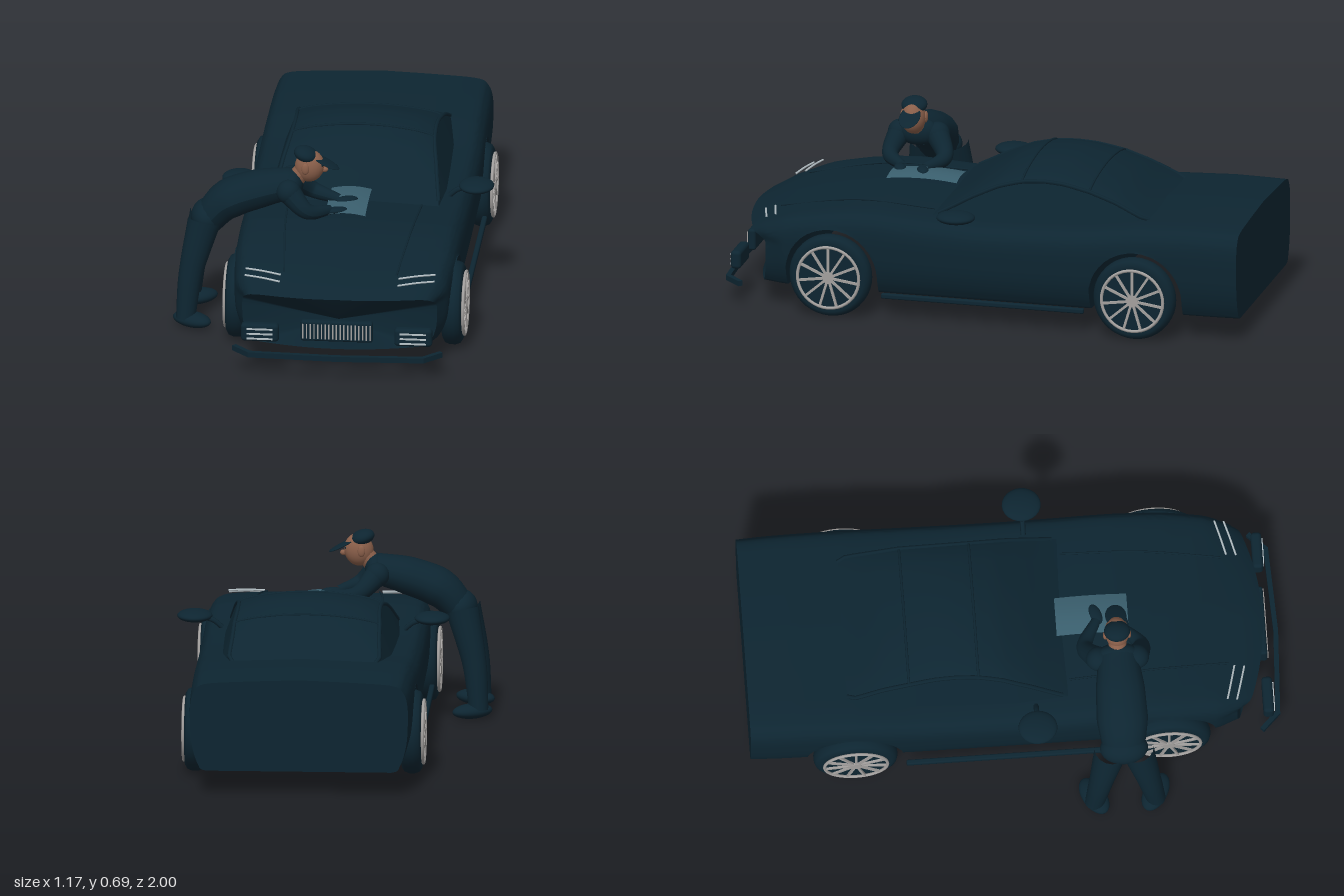
import * as THREE from 'three';
import { toCreasedNormals } from 'three/addons/utils/BufferGeometryUtils.js';
import { RoundedBoxGeometry } from 'three/addons/geometries/RoundedBoxGeometry.js';

const CX = 0.075; // car centre line
const mat = (name, color, side = THREE.FrontSide) => {
  const m = new THREE.MeshStandardMaterial({ color, side });
  m.name = name;
  return m;
};
const V = (x, y, z) => new THREE.Vector3(x, y, z);

// piecewise linear lookup in [position, value] pairs
function look(table, p) {
  let i = 1;
  while (i < table.length - 1 && p > table[i][0]) i++;
  const [a, va] = table[i - 1], [b, vb] = table[i];
  return va + (vb - va) * THREE.MathUtils.clamp((p - a) / (b - a), 0, 1);
}

// closed rings, ordered from back (-z) to front (+z), with end caps
function loft(rings, crease = 0.6) {
  const n = rings[0].length, pos = [], idx = [];
  rings.forEach(r => r.forEach(p => pos.push(p.x, p.y, p.z)));
  for (let i = 0; i < rings.length - 1; i++) {
    for (let j = 0; j < n; j++) {
      const k = (j + 1) % n, a = i * n + j, b = i * n + k;
      idx.push(a, b, b + n, a, b + n, a + n);
    }
  }
  for (const i of [0, rings.length - 1]) {
    const c = rings[i].reduce((s, p) => s.add(p), V(0, 0, 0)).divideScalar(n);
    const ci = pos.length / 3;
    pos.push(c.x, c.y, c.z);
    for (let j = 0; j < n; j++) {
      const a = i * n + j, b = i * n + (j + 1) % n;
      if (i) idx.push(ci, a, b); else idx.push(ci, b, a);
    }
  }
  const g = new THREE.BufferGeometry();
  g.setAttribute('position', new THREE.Float32BufferAttribute(pos, 3));
  g.setIndex(idx);
  return toCreasedNormals(g, crease);
}

// mirrored ring from a half outline running bottom centre to top centre
const mirrorRing = (half, z) => [
  ...half.map(([x, y]) => V(CX + x, y, z)),
  ...half.slice(1, -1).reverse().map(([x, y]) => V(CX - x, y, z)),
];

// tube whose radius changes along its length
function limbGeometry(points, radii) {
  const curve = new THREE.CatmullRomCurve3(points), n = 20, sides = 16;
  const g = new THREE.TubeGeometry(curve, n, 1, sides), p = g.attributes.position, v = V(0, 0, 0);
  const table = radii.map((r, i) => [i / (radii.length - 1), r]);
  for (let i = 0; i < p.count; i++) {
    const t = Math.floor(i / (sides + 1)) / n, c = curve.getPointAt(t);
    v.fromBufferAttribute(p, i).sub(c).multiplyScalar(look(table, t)).add(c);
    p.setXYZ(i, v.x, v.y, v.z);
  }
  g.computeVertexNormals();
  return g;
}

export function createModel() {
  const navy = mat('darkNavy', 0x0d2531), silver = mat('silver', 0xa3a09e);
  const skin = mat('skin', 0x8a5f4a), cloth = mat('clothTeal', 0x3a5f6e, THREE.DoubleSide);
  const lamp = mat('lampWhite', 0xb4bfc4);
  const root = new THREE.Group(), car = new THREE.Group(), man = new THREE.Group();
  root.name = 'carAndPolisher'; car.name = 'car'; man.name = 'man';
  root.add(car, man);
  const add = (parent, name, geo, m, x = 0, y = 0, z = 0) => {
    const mesh = new THREE.Mesh(geo, m);
    mesh.name = name;
    mesh.position.set(x, y, z);
    parent.add(mesh);
    return mesh;
  };
  const tube = (parent, name, pts, r, m) =>
    add(parent, name, new THREE.TubeGeometry(new THREE.CatmullRomCurve3(pts), 24, r, 6), m);
  const ball = (parent, name, m, x, y, z, rx, ry, rz) => {
    const b = add(parent, name, new THREE.SphereGeometry(1, 24, 16), m, x, y, z);
    b.scale.set(rx, ry, rz);
    return b;
  };

  // car body, with wheel tunnels cut through the underside
  const AXLES = [-0.61, 0.56], WY = 0.157, ARCH = 0.177, FLOOR = 0.09;
  const top = [[-1, 0.435], [-0.8, 0.437], [-0.6, 0.428], [-0.4, 0.405], [-0.2, 0.395], [0, 0.39], [0.2, 0.397],
    [0.4, 0.41], [0.5, 0.405], [0.6, 0.393], [0.7, 0.375], [0.8, 0.352], [0.9, 0.322], [0.94, 0.302]];
  const wide = [[-1, 0.407], [-0.9, 0.412], [-0.4, 0.42], [0.3, 0.42], [0.6, 0.415], [0.8, 0.395], [0.94, 0.365]];
  const outline = new THREE.SplineCurve([[0, 0], [0.5, 0], [0.85, 0.0], [0.93, 0.08], [0.985, 0.3], [1, 0.55], [0.995, 0.75],
    [0.96, 0.88], [0.87, 0.96], [0.55, 0.99], [0, 1.015]].map(p => new THREE.Vector2(...p))).getPoints(50);
  const zs = [];
  for (let i = 0; i <= 48; i++) zs.push(-1 + 1.94 * i / 48);
  AXLES.forEach(c => {
    for (let k = 0; k <= 18; k++) zs.push(c - Math.cos(Math.PI * k / 18) * (ARCH - 0.0005));
    zs.push(c - ARCH, c + ARCH);
  });
  zs.sort((a, b) => a - b);
  const bodyRings = zs.map(z => {
    const c = AXLES.find(a => Math.abs(z - a) < ARCH - 0.0002);
    const low = c === undefined ? FLOOR : WY + Math.sqrt(ARCH * ARCH - (z - c) ** 2);
    const h = look(top, z) - FLOOR, w = look(wide, z);
    const ring = mirrorRing(outline.map(p => [p.x * w, Math.max(low, FLOOR + p.y * h)]), z);
    // rounded nose that overhangs the lower bumper
    if (z > 0.74) {
      const s = (z - 0.74) / 0.2;
      ring.forEach(p => {
        const over = 0.78 + 0.22 * THREE.MathUtils.smoothstep(p.y, 0.25, 0.295);
        p.z = 0.74 + (z - 0.74) * over - 0.09 * s * ((p.x - CX) / 0.4) ** 2;
      });
    }
    return ring;
  });
  add(car, 'body', loft(bodyRings), navy);

  // cabin with windscreen, roof and rear window
  const roof = [[-0.66, 0.42], [-0.6, 0.45], [-0.5, 0.508], [-0.4, 0.55], [-0.3, 0.576], [-0.22, 0.582], [-0.14, 0.575],
    [-0.05, 0.547], [0.05, 0.49], [0.13, 0.435], [0.2, 0.39]];
  const base = [[-0.66, 0.27], [-0.6, 0.305], [-0.4, 0.325], [0, 0.33], [0.2, 0.32]];
  const cabinHalf = z => {
    const t = look(roof, z), h = t - 0.37, b = look(base, z), e = b - 0.3 * h, d = 0.2 * h;
    return [[0, 0.37], [b, 0.37], [e, t - d], [e - 0.02, t - d * 0.75], [e * 0.7, t - d * 0.4], [e * 0.35, t - d * 0.1], [0, t]];
  };
  const cabinRings = [];
  for (let i = 0; i <= 30; i++) {
    const z = -0.66 + 0.86 * i / 30;
    cabinRings.push(mirrorRing(cabinHalf(z), z));
  }
  add(car, 'cabin', loft(cabinRings, 0.7), navy);
  // window seams across the roof and rails along its edges
  [-0.4, -0.14].forEach(z => tube(car, 'roofSeam', mirrorRing(cabinHalf(z), z).slice(2, 11), 0.005, navy));
  [2, 10].forEach(j => tube(car, 'roofRail', cabinRings.slice(1, -1).map(r => r[j].clone()), 0.008, navy));

  // wheels
  const tyre = new THREE.LatheGeometry([[0.118, -0.033], [0.135, -0.037], [0.15, -0.028], [0.157, -0.01], [0.157, 0.01],
    [0.15, 0.028], [0.135, 0.037], [0.118, 0.033]].map(p => new THREE.Vector2(...p)), 40).rotateZ(-Math.PI / 2);
  const disc = r => new THREE.CylinderGeometry(r, r, 0.008, 40).rotateZ(-Math.PI / 2);
  for (const side of [-1, 1]) {
    for (const z of AXLES) {
      const w = new THREE.Group();
      w.name = 'wheel';
      w.position.set(CX + side * 0.405, WY, z);
      if (side < 0) w.rotation.y = Math.PI;
      car.add(w);
      add(w, 'tyre', tyre, navy);
      add(w, 'rimBack', disc(0.122), navy, 0.03);
      add(w, 'innerDisc', disc(0.122), silver, -0.03);
      add(w, 'rimRing', new THREE.TorusGeometry(0.118, 0.006, 8, 40).rotateY(Math.PI / 2), silver, 0.042);
      add(w, 'hub', disc(0.022), silver, 0.044);
      for (let k = 0; k < 11; k++) {
        const spoke = add(w, 'spoke', new THREE.BoxGeometry(0.008, 0.1, 0.009).translate(0, 0.066, 0), silver, 0.042);
        spoke.rotation.x = k * Math.PI * 2 / 11;
      }
    }
    // sill bars, mirrors and lamps
    add(car, 'sillBar', new RoundedBoxGeometry(0.02, 0.02, 0.78, 2, 0.006), navy, CX + side * 0.428, 0.098, -0.03);
    ball(car, 'mirror', navy, CX + side * 0.443, 0.43, 0.07, 0.066, 0.022, 0.073);
    tube(car, 'mirrorStalk', [V(CX + side * 0.34, 0.385, 0.07), V(CX + side * 0.37, 0.41, 0.07), V(CX + side * 0.41, 0.425, 0.07)], 0.01, navy);
    add(car, 'lowerLamp', new RoundedBoxGeometry(0.142, 0.07, 0.04, 3, 0.014), navy, CX + side * 0.287, 0.168, 0.94);
    for (let k = 0; k < 3; k++) {
      add(car, 'lampStrip', new THREE.BoxGeometry(0.098, 0.006, 0.006), lamp, CX + side * 0.287, 0.147 + k * 0.019, 0.961);
    }
    [[0.785, 0.82, 0.359], [0.82, 0.857, 0.346]].forEach(([z0, z1, y]) => tube(car, 'headlampStrip',
      [V(CX + side * 0.355, y - 0.002, z0), V(CX + side * 0.29, y - 0.003, (z0 + z1) / 2), V(CX + side * 0.22, y - 0.009, z1)], 0.004, lamp));
    // bonnet crease
    tube(car, 'bonnetCrease', [V(CX + side * 0.25, 0.397, 0.2), V(CX + side * 0.235, 0.405, 0.5), V(CX + side * 0.21, 0.352, 0.8)], 0.004, navy);
  }

  // grille and front splitter
  add(car, 'grille', new RoundedBoxGeometry(0.27, 0.082, 0.03, 3, 0.01), navy, CX, 0.18, 0.935);
  for (let k = 0; k < 19; k++) {
    add(car, 'grilleSlat', new THREE.BoxGeometry(0.005, 0.058, 0.006), silver, CX - 0.126 + k * 0.014, 0.18, 0.951);
  }
  const lip = [[-0.385, 0.915], [-0.325, 0.975], [0, 0.99], [0.325, 0.975], [0.385, 0.915]];
  for (let i = 0; i < 4; i++) {
    const [x0, z0] = lip[i], [x1, z1] = lip[i + 1];
    const bar = add(car, 'splitter', new THREE.BoxGeometry(Math.hypot(x1 - x0, z1 - z0) + 0.008, 0.02, 0.018), navy,
      CX + (x0 + x1) / 2, 0.09, (z0 + z1) / 2);
    bar.rotation.y = -Math.atan2(z1 - z0, x1 - x0);
  }

  // polishing cloth, slightly bowed
  const sheet = new THREE.PlaneGeometry(0.15, 0.27, 8, 12).rotateX(-Math.PI / 2), sp = sheet.attributes.position;
  for (let i = 0; i < sp.count; i++) {
    sp.setY(i, 0.012 * Math.cos(sp.getX(i) * 18) - 0.5 * sp.getZ(i) ** 2);
  }
  sheet.computeVertexNormals();
  add(root, 'cloth', sheet, cloth, 0.06, 0.446, 0.3);

  // man: legs, shoes, torso and arms
  const MZ = 0.385;
  for (const s of [-1, 1]) {
    const z = MZ + s * 0.115;
    add(man, 'leg', limbGeometry([V(-0.532, 0.03, z), V(-0.515, 0.2, z - s * 0.025), V(-0.468, 0.4, z - s * 0.065)],
      [0.036, 0.046, 0.062]), navy);
    ball(man, 'shoe', navy, -0.508, 0.028, z, 0.08, 0.028, 0.045).rotation.y = -s * 0.5;
  }
  const torso = add(man, 'torso', limbGeometry([V(-0.458, 0.39, 0), V(-0.39, 0.465, 0), V(-0.27, 0.515, 0), V(-0.14, 0.545, 0)],
    [0.06, 0.074, 0.07, 0.056]), navy, 0, 0, MZ);
  torso.scale.z = 1.3;
  ball(man, 'hips', navy, -0.46, 0.4, MZ, 0.062, 0.065, 0.09);
  ball(man, 'shoulders', navy, -0.14, 0.545, MZ, 0.04, 0.055, 0.08);
  const arms = [[V(-0.15, 0.535, 0.455), V(-0.08, 0.468, 0.475), V(0.0, 0.45, 0.41)],
    [V(-0.15, 0.535, 0.31), V(-0.075, 0.47, 0.265), V(0.03, 0.456, 0.315)]];
  arms.forEach(a => {
    add(man, 'arm', limbGeometry(a, [0.045, 0.03, 0.018]), navy);
    ball(man, 'shoulder', navy, a[0].x, a[0].y, a[0].z, 0.046, 0.046, 0.046);
    const e = a[2];
    ball(man, 'hand', navy, e.x + 0.025, e.y, e.z, 0.042, 0.012, 0.022).rotation.y = 0.35;
  });

  // head, face and cap
  add(man, 'neck', limbGeometry([V(-0.14, 0.55, MZ), V(-0.12, 0.575, MZ), V(-0.09, 0.61, MZ)], [0.036, 0.034, 0.034]), skin);
  ball(man, 'head', skin, -0.078, 0.615, MZ, 0.055, 0.062, 0.046).rotation.z = -0.2;
  ball(man, 'nose', skin, -0.022, 0.603, MZ, 0.014, 0.011, 0.01);
  for (const s of [-1, 1]) {
    ball(man, 'ear', skin, -0.09, 0.618, MZ + s * 0.045, 0.014, 0.022, 0.008);
    ball(man, 'eye', navy, -0.03, 0.625, MZ + s * 0.018, 0.005, 0.005, 0.006);
  }
  ball(man, 'cap', navy, -0.092, 0.662, MZ, 0.046, 0.028, 0.049).rotation.z = -0.3;
  ball(man, 'capBrim', navy, -0.02, 0.633, MZ, 0.06, 0.006, 0.04).rotation.z = -0.48;
  return root;
}
